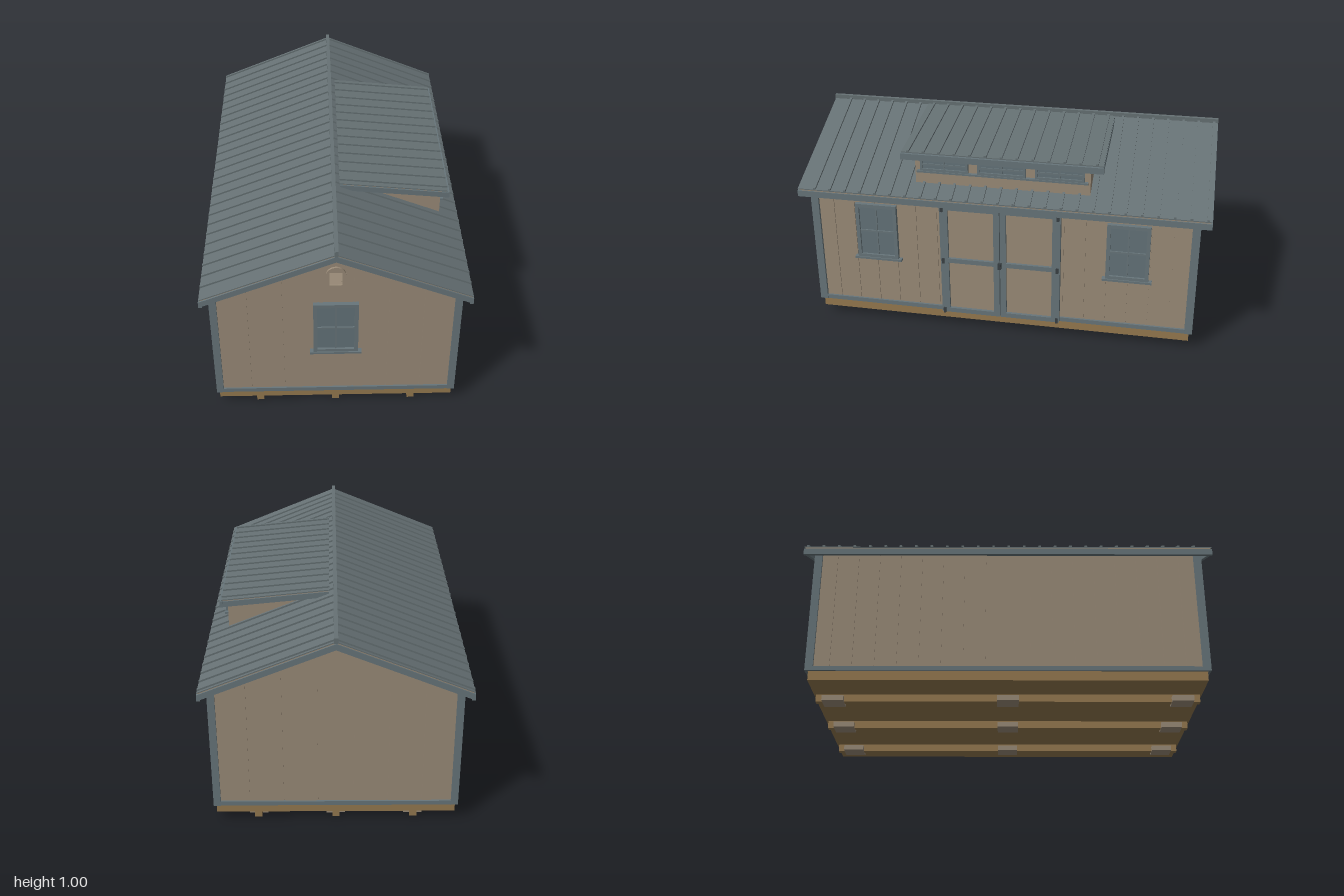
import * as THREE from 'three';

const mat = (name, color) => {
  const m = new THREE.MeshStandardMaterial({ color });
  m.name = name;
  return m;
};

export function createModel() {
  const siding = mat('tan siding', 0x9b8c79);
  const trim = mat('slate trim', 0x68767b);
  const metal = mat('slate roof metal', 0x667174);
  const glass = mat('window glass', 0x64747a);
  const wood = mat('treated wood', 0x967a50);
  const iron = mat('dark hardware', 0x3a4144);

  const model = new THREE.Group();
  model.name = 'shed';
  const group = (name, parent = model) => {
    const g = new THREE.Group();
    g.name = name;
    parent.add(g);
    return g;
  };
  const add = (parent, name, geo, m) => {
    const mesh = new THREE.Mesh(geo, m);
    mesh.name = name;
    parent.add(mesh);
    return mesh;
  };
  // Box given by its limits on each axis
  const box = (parent, name, m, x0, x1, y0, y1, z0, z1) => {
    const mesh = add(parent, name, new THREE.BoxGeometry(x1 - x0, y1 - y0, z1 - z0), m);
    mesh.position.set((x0 + x1) / 2, (y0 + y1) / 2, (z0 + z1) / 2);
    return mesh;
  };
  // Outline in x, y pushed along z
  const prism = (parent, name, m, pts, z0, z1) => {
    const shape = new THREE.Shape(pts.map(p => new THREE.Vector2(p[0], p[1])));
    const geo = new THREE.ExtrudeGeometry(shape, { depth: z1 - z0, bevelEnabled: false });
    return add(parent, name, geo.translate(0, 0, z0), m);
  };
  // Sloping slab, top line y = top - pitch * |x|, on side s
  const slope = (parent, name, m, s, x0, x1, top, pitch, t, z0, z1) => {
    const a = top - pitch * x0, b = top - pitch * x1;
    return prism(parent, name, m, [[s * x0, a], [s * x1, b], [s * x1, b - t], [s * x0, a - t]], z0, z1);
  };

  // Skids, footing blocks and floor frame
  const base = group('base');
  for (const x of [-0.367, 0, 0.367]) {
    box(base, 'skid', wood, x - 0.017, x + 0.017, 0.003, 0.042, -0.925, 0.925);
    for (const z of [-0.84, 0, 0.84])
      box(base, 'footingBlock', siding, x - 0.045, x + 0.045, 0, 0.026, z - 0.052, z + 0.052);
  }
  box(base, 'floorFrame', wood, -0.562, 0.562, 0.04, 0.088, -0.935, 0.935);

  // Wall core with grooved siding boards on all four sides
  const walls = group('walls');
  const PITCH = 0.41, WALL_TOP = 0.962;
  const roofY = x => WALL_TOP - PITCH * Math.abs(x);
  const outline = (a, b) => {
    const pts = [[a, 0.086], [b, 0.086], [b, roofY(b)]];
    if (a < 0 && b > 0) pts.push([0, WALL_TOP]);
    return [...pts, [a, roofY(a)]];
  };
  prism(walls, 'wallCore', siding, outline(-0.556, 0.556), -0.936, 0.936);
  const ends = 7, endW = 1.12 / ends;
  for (let i = 0; i < ends; i++) {
    const a = -0.56 + i * endW + 0.003, b = a + endW - 0.006;
    prism(walls, 'frontBoard', siding, outline(a, b), 0.936, 0.941);
    prism(walls, 'backBoard', siding, outline(a, b), -0.941, -0.936);
  }
  const sides = 18, sideW = 1.88 / sides;
  for (let i = 0; i < sides; i++) {
    const z = -0.94 + i * sideW;
    for (const s of [-1, 1])
      box(walls, 'sideBoard', siding, s * 0.558 - 0.003, s * 0.558 + 0.003, 0.086, 0.725, z + 0.003, z + sideW - 0.003);
  }

  // Corner boards and bottom boards
  const trims = group('wallTrim');
  for (const s of [-1, 1]) {
    for (const e of [-1, 1]) {
      box(trims, 'cornerBoardEnd', trim, Math.min(s * 0.54, s * 0.574), Math.max(s * 0.54, s * 0.574),
        0.086, 0.722, e * 0.945 - 0.006, e * 0.945 + 0.006);
      box(trims, 'cornerBoardSide', trim, s * 0.567 - 0.007, s * 0.567 + 0.007,
        0.086, 0.722, e * 0.931 - 0.018, e * 0.931 + 0.018);
    }
    box(trims, 'bottomBoardEnd', trim, -0.55, 0.55, 0.086, 0.108, s * 0.944 - 0.005, s * 0.944 + 0.005);
    box(trims, 'bottomBoardSide', trim, s * 0.565 - 0.006, s * 0.565 + 0.006, 0.086, 0.108, -0.925, 0.925);
  }

  // Main roof: deck, metal sheet, ribs, rake boards and eave fascia
  const roof = group('roof');
  const ribStep = 0.0757;
  for (const s of [-1, 1]) {
    slope(roof, 'roofDeck', siding, s, 0, 0.606, 0.974, PITCH, 0.01, -0.994, 0.994);
    slope(roof, 'roofSheet', metal, s, 0, 0.61, 0.979, PITCH, 0.005, -0.998, 0.998);
    for (let i = 0; i < 26; i++) {
      const z = -0.98 + i * ribStep;
      slope(roof, 'roofRib', metal, s, 0.005, 0.61, 0.988, PITCH, 0.011, z - 0.006, z + 0.006);
    }
    for (const e of [-1, 1])
      slope(roof, 'rakeBoard', trim, s, 0, 0.612, 0.968, PITCH, 0.03, e * 0.992 - 0.008, e * 0.992 + 0.008);
    box(roof, 'eaveFascia', trim, s * 0.604 - 0.008, s * 0.604 + 0.008, 0.687, 0.718, -1, 1);
  }
  box(roof, 'ridgeCap', metal, -0.009, 0.009, 0.968, 0.996, -1, 1);

  // Window facing +z, origin at the wall surface, centred
  const makeWindow = (name, parent, w, h, d, f, rows) => {
    const g = group(name, parent);
    box(g, 'pane', glass, -w / 2 + 0.002, w / 2 - 0.002, -h / 2 + 0.002, h / 2 - 0.002, 0, d * 0.5);
    for (const s of [-1, 1]) {
      box(g, 'jamb', trim, s * (w - f) / 2 - f / 2, s * (w - f) / 2 + f / 2, -h / 2, h / 2, 0, d);
      box(g, 'rail', trim, -w / 2 + f, w / 2 - f, s * (h - f) / 2 - f / 2, s * (h - f) / 2 + f / 2, 0, d);
    }
    box(g, 'mullion', trim, -0.004, 0.004, -h / 2 + f, h / 2 - f, 0, d * 0.75);
    for (let r = 1; r < rows; r++) {
      const y = -h / 2 + h * r / rows;
      box(g, 'crossBar', trim, -w / 2 + f, w / 2 - f, y - 0.005, y + 0.005, 0, d * 0.8);
    }
    return g;
  };
  const bigWindow = name => {
    const g = makeWindow(name, model, 0.207, 0.295, 0.022, 0.018, 2);
    box(g, 'sill', trim, -0.12, 0.12, -0.156, -0.145, 0, 0.027);
    return g;
  };
  bigWindow('frontWindow').position.set(0, 0.508, 0.94);
  for (const z of [-0.62, 0.62]) {
    const g = bigWindow('sideWindow');
    g.position.set(0.56, 0.508, z);
    g.rotation.y = Math.PI / 2;
  }

  // Arched gable vent with slats
  const vent = group('gableVent');
  const arch = new THREE.Shape();
  arch.moveTo(-0.045, 0.747).lineTo(0.045, 0.747).lineTo(0.045, 0.825);
  arch.absarc(0, 0.82, 0.045, 0.1, Math.PI - 0.1, false);
  arch.closePath();
  arch.holes.push(new THREE.Path([[-0.029, 0.764], [-0.029, 0.836], [0.029, 0.836], [0.029, 0.764]]
    .map(p => new THREE.Vector2(...p))));
  add(vent, 'ventFrame', new THREE.ExtrudeGeometry(arch, { depth: 0.01, bevelEnabled: false, curveSegments: 12 }), siding)
    .position.z = 0.94;
  for (let i = 0; i < 5; i++) {
    const slat = box(vent, 'ventSlat', siding, -0.03, 0.03, 0.767 + i * 0.0145, 0.777 + i * 0.0145, 0.942, 0.946);
    slat.rotation.x = -0.5;
  }

  // Double door on the left side, built facing +z and turned
  const doors = group('doubleDoor');
  doors.position.set(0.56, 0, 0);
  doors.rotation.y = Math.PI / 2;
  for (const s of [-1, 1]) {
    const leaf = group('doorLeaf', doors);
    const bar = (name, m, a, b, y0, y1, z1) =>
      box(leaf, name, m, Math.min(s * a, s * b), Math.max(s * a, s * b), y0, y1, 0, z1);
    bar('doorPanel', siding, 0.003, 0.295, 0.09, 0.688, 0.014);
    bar('innerStile', trim, 0.002, 0.031, 0.088, 0.69, 0.028);
    bar('outerStile', trim, 0.257, 0.297, 0.088, 0.69, 0.028);
    for (const [y0, y1] of [[0.088, 0.112], [0.374, 0.398], [0.664, 0.69]])
      bar('doorRail', trim, 0.031, 0.257, y0, y1, 0.028);
    for (const y of [0.1, 0.385, 0.67])
      bar('hinge', iron, 0.278, 0.29, y - 0.014, y + 0.014, 0.036);
  }
  box(doors, 'handle', iron, -0.008, 0.008, 0.368, 0.4, 0.026, 0.042);

  // Shed dormer with its own low roof
  const dormer = group('dormer');
  const DP = 0.1;
  prism(dormer, 'dormerWalls', siding, [[0.03, 0.975], [0.515, 0.927], [0.515, 0.74], [0.03, 0.94]], -0.425, 0.425);
  slope(dormer, 'dormerDeck', siding, 1, 0.032, 0.535, 0.984, DP, 0.008, -0.48, 0.48);
  slope(dormer, 'dormerSheet', metal, 1, 0.028, 0.54, 0.989, DP, 0.005, -0.485, 0.485);
  for (let i = 0; i < 13; i++) {
    const z = -0.455 + i * ribStep;
    slope(dormer, 'dormerRib', metal, 1, 0.028, 0.54, 0.997, DP, 0.01, z - 0.006, z + 0.006);
  }
  for (const e of [-1, 1])
    slope(dormer, 'dormerRake', trim, 1, 0.03, 0.535, 0.979, DP, 0.028, e * 0.478 - 0.008, e * 0.478 + 0.008);
  box(dormer, 'dormerFascia', trim, 0.532, 0.548, 0.897, 0.928, -0.488, 0.488);
  box(dormer, 'dormerSill', trim, 0.514, 0.532, 0.828, 0.837, -0.415, 0.415);
  for (const z of [-0.28, 0, 0.28]) {
    const g = makeWindow('dormerWindow', dormer, 0.235, 0.066, 0.014, 0.012, 2);
    g.position.set(0.515, 0.87, z);
    g.rotation.y = Math.PI / 2;
  }
  return model;
}
